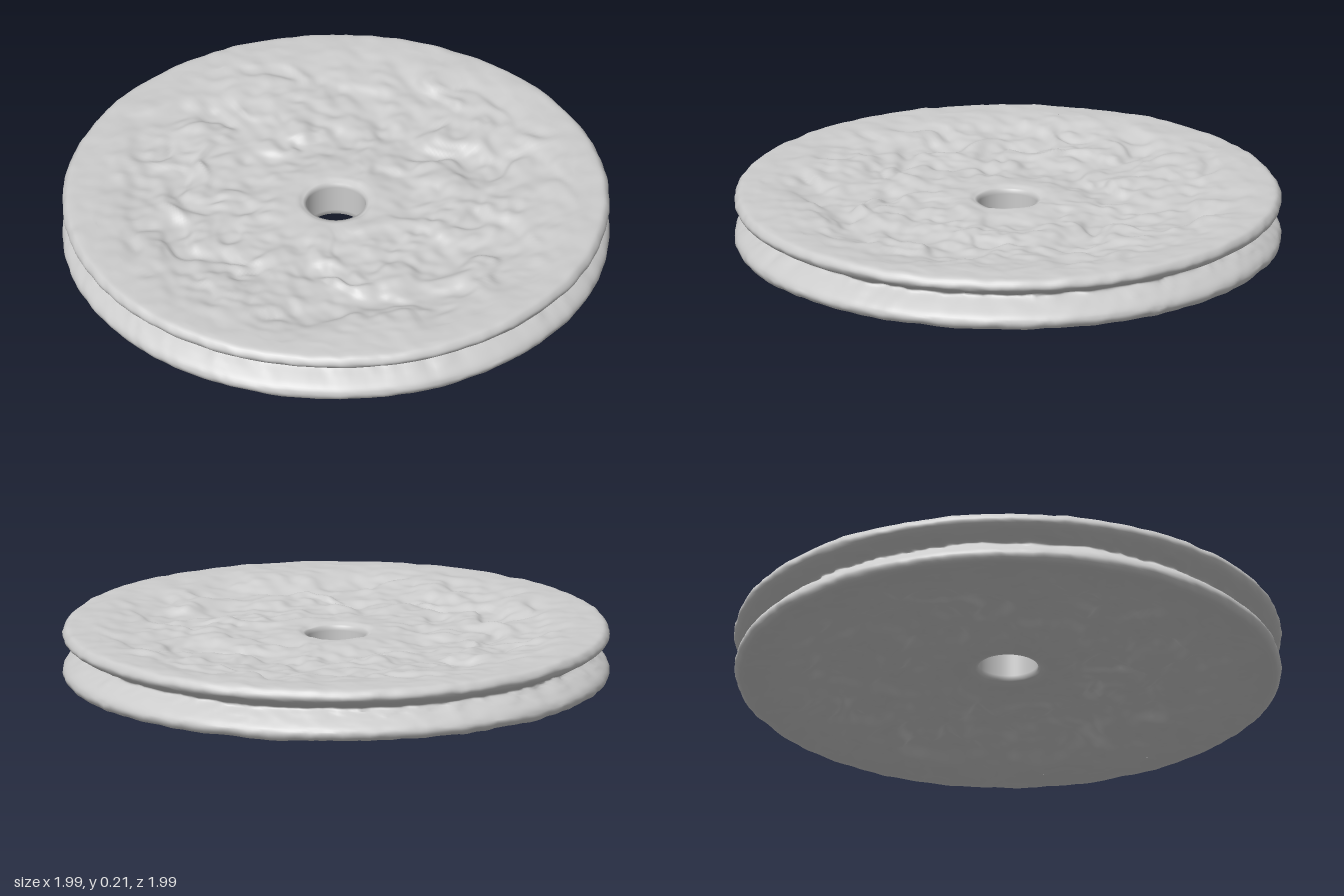
import * as THREE from 'three';
import { mergeVertices } from 'three/addons/utils/BufferGeometryUtils.js';

// Repeatable lattice value in 0..1
function hash(i, j, k) {
  let h = Math.imul(i, 374761393) ^ Math.imul(j, 668265263) ^ Math.imul(k, 1274126177);
  h = Math.imul(h ^ (h >>> 13), 1103515245);
  return ((h ^ (h >>> 16)) >>> 0) / 4294967295;
}

// Smooth value noise in -1..1; the layer picks an independent pattern
function noise(x, z, layer) {
  const i = Math.floor(x), j = Math.floor(z);
  const s = THREE.MathUtils.smoothstep;
  const u = s(x - i, 0, 1), v = s(z - j, 0, 1);
  const a = THREE.MathUtils.lerp(hash(i, j, layer), hash(i + 1, j, layer), u);
  const b = THREE.MathUtils.lerp(hash(i, j + 1, layer), hash(i + 1, j + 1, layer), u);
  return THREE.MathUtils.lerp(a, b, v) * 2 - 1;
}

const BORE = 0.11, FACE_EDGE = 0.95, MIDDLE = 0.106;

// Bottom surface height at radius r: recessed web between the rim and a low hub
function dish(r) {
  const s = THREE.MathUtils.smoothstep;
  const web = 0.028 * (1 - s(r, 0.55, 0.92));
  const hub = 0.009 * (1 - s(r, 0.16, 0.32));
  const chamfer = 0.012 * (1 - s(r, BORE, 0.14));
  return 0.008 + web - hub + chamfer;
}

// Closed section: bottom face, lip, groove, lip, top face, bore
function wheelProfile() {
  const face = [];
  for (let i = 0; i < 84; i++) {
    const r = THREE.MathUtils.lerp(BORE, FACE_EDGE, i / 84);
    face.push(new THREE.Vector2(r, dish(r)));
  }
  const rim = new THREE.SplineCurve([
    [FACE_EDGE, 0.008], [0.98, 0.012], [0.996, 0.035], [0.985, 0.06], [0.95, 0.085],
    [0.91, 0.108], [0.91, 0.122], [0.95, 0.138], [0.985, 0.156], [0.996, 0.177],
    [0.98, 0.2], [FACE_EDGE, 0.204],
  ].map(([r, y]) => new THREE.Vector2(r, y)));
  const top = face.map((p) => new THREE.Vector2(p.x, 2 * MIDDLE - p.y)).reverse();
  const wall = [];
  for (let i = 1; i <= 8; i++) {
    wall.push(new THREE.Vector2(BORE, THREE.MathUtils.lerp(top.at(-1).y, face[0].y, i / 8)));
  }
  return [...face, ...rim.getPoints(44), ...top, ...wall];
}

// Weathered relief, strongest between the hub and the rim
function weather(geometry) {
  const p = geometry.attributes.position;
  const s = THREE.MathUtils.smoothstep;
  for (let n = 0; n < p.count; n++) {
    const x = p.getX(n), y = p.getY(n), z = p.getZ(n);
    const r = Math.hypot(x, z);
    const up = y > MIDDLE ? 1 : -1;
    const layer = up > 0 ? 1 : 7;
    if (r > BORE + 0.001 && Math.abs(y - MIDDLE) > 0.06) {
      const mask = s(r, 0.15, 0.35) * (1 - s(r, 0.68, 0.93));
      const warp = noise(x * 7, z * 7, layer + 3) * 0.8;
      const large = noise(x * 6 + warp, z * 6 - warp, layer);
      const medium = noise(x * 11 + warp, z * 11 - warp, layer + 1);
      const fine = noise(x * 24, z * 24 + warp, layer + 2);
      // Squashing the bumps gives worn plateaus with steep edges
      const relief = Math.tanh(large * 4) * 0.008 + Math.tanh(medium * 3) * 0.009 + fine * 0.006;
      const depth = up > 0 ? 1 : 1.25;
      p.setY(n, y + up * (mask * depth * relief + (1 - mask) * (medium * 0.003 + fine * 0.002)));
    }
    if (r > 0.88) {
      // Worn ripples round the rim, rougher in the groove
      const amount = THREE.MathUtils.lerp(0.022, 0.004, s(r, 0.91, 0.98));
      const k = 1 + amount * (0.5 * noise(x * 14, z * 14, 13) + 0.5 * noise(x * 30, z * 30 + y * 40, 14));
      p.setX(n, x * k);
      p.setZ(n, z * k);
    }
  }
}

export function createModel() {
  const group = new THREE.Group();
  let geometry = new THREE.LatheGeometry(wheelProfile(), 320);
  weather(geometry);
  // Weld the seam so the shading runs smoothly all round
  geometry.deleteAttribute('uv');
  geometry.deleteAttribute('normal');
  geometry = mergeVertices(geometry, 1e-4);
  geometry.computeVertexNormals();

  const wheel = new THREE.Mesh(geometry, new THREE.MeshStandardMaterial({ color: 0xcccccc }));
  wheel.name = 'groovedWheel';
  group.add(wheel);
  return group;
}
